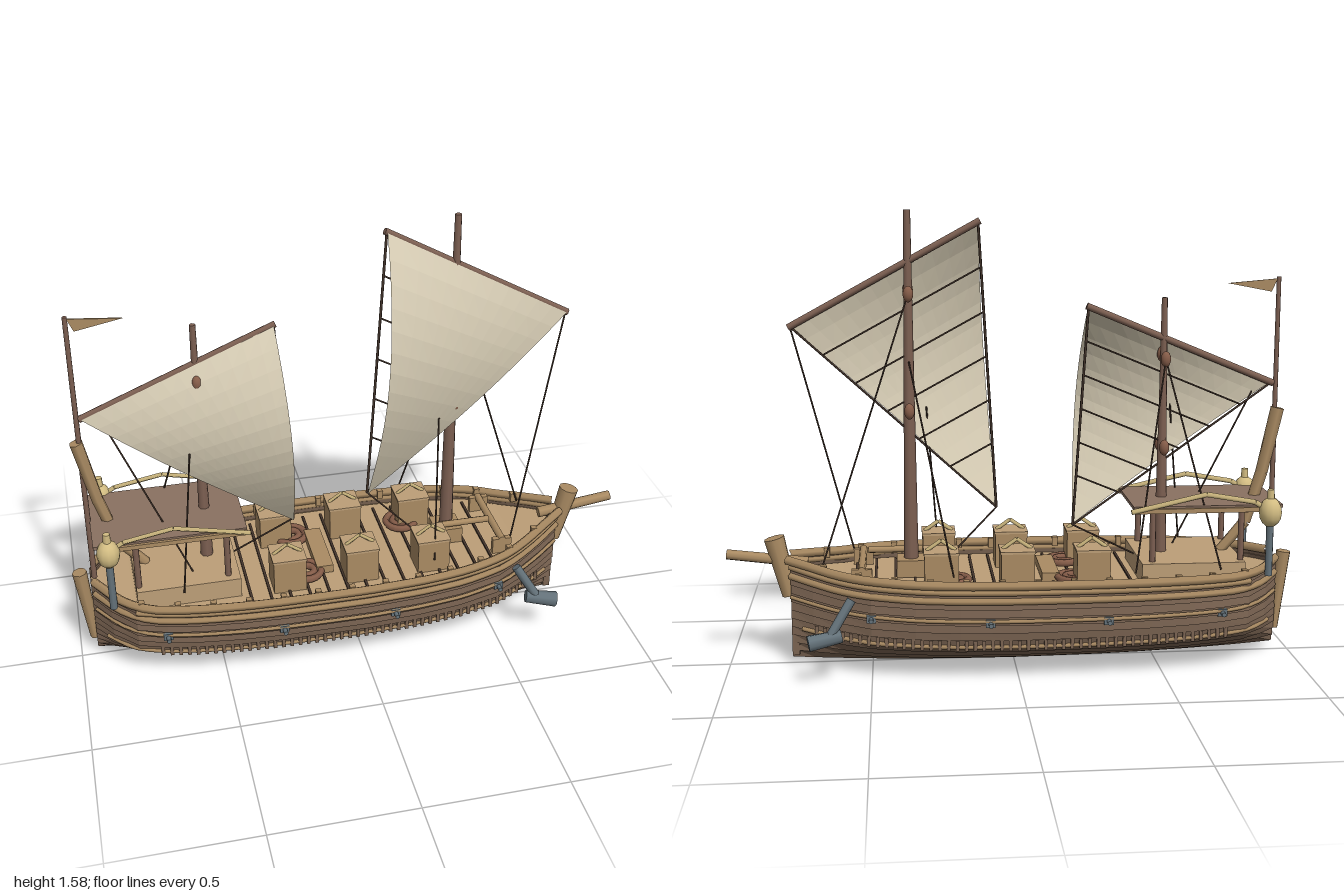
import * as THREE from 'three';

const mat = (name, color, side = THREE.FrontSide) => {
  const m = new THREE.MeshStandardMaterial({ color, side });
  m.name = name;
  return m;
};
const V = (x, y, z) => new THREE.Vector3(x, y, z);

// Linear lookup in a table of [x, value] pairs
function lookup(table, x) {
  for (let i = 1; i < table.length; i++) {
    const [x0, v0] = table[i - 1], [x1, v1] = table[i];
    if (x <= x1) return v0 + (v1 - v0) * (x - x0) / (x1 - x0);
  }
  return table[table.length - 1][1];
}

// Hull form: half width and sheer along x, section from keel (0) to rail (1)
const BEAM = [[-0.94, 0.03], [-0.88, 0.125], [-0.8, 0.21], [-0.7, 0.245], [-0.6, 0.265], [-0.45, 0.282], [-0.3, 0.29], [0, 0.293],
  [0.2, 0.284], [0.35, 0.265], [0.5, 0.226], [0.6, 0.165], [0.7, 0.095], [0.78, 0.03]];
const SHEER = [[-0.94, 0.36], [-0.8, 0.345], [0, 0.348], [0.3, 0.35], [0.6, 0.36], [0.78, 0.385]];
const SECTION = [[0, 0.03], [0.1, 0.32], [0.2, 0.58], [0.32, 0.79], [0.45, 0.88], [0.6, 0.925], [0.8, 0.965], [1, 1]];
const XS = BEAM.map(b => b[0]);
function hullPoint(x, t, out = 0, side = 1) {
  const bottom = 0.03 * (x / 0.9) ** 2;
  return V(x, bottom + (lookup(SHEER, x) - bottom) * t, side * (lookup(BEAM, x) * lookup(SECTION, t) + out));
}

// Faceted surface through rows of points
function loft(rows) {
  const pos = [];
  for (let j = 0; j + 1 < rows.length; j++)
    for (let i = 0; i + 1 < rows[j].length; i++) {
      const a = rows[j][i], b = rows[j][i + 1], c = rows[j + 1][i + 1], d = rows[j + 1][i];
      for (const p of [a, b, c, a, c, d]) pos.push(p.x, p.y, p.z);
    }
  const g = new THREE.BufferGeometry();
  g.setAttribute('position', new THREE.Float32BufferAttribute(pos, 3));
  g.computeVertexNormals();
  return g;
}

export function createModel() {
  const M = {
    hull: mat('hull brown', 0x7b6452, THREE.DoubleSide),
    trim: mat('trim tan', 0xaa8b63),
    deck: mat('deck tan', 0xbd9f78, THREE.DoubleSide),
    mast: mat('mast brown', 0x7d6052),
    sail: mat('sailcloth', 0xd6ccb4, THREE.DoubleSide),
    rope: mat('dark rope', 0x43342b),
    iron: mat('iron', 0x65737b),
    lamp: mat('lantern yellow', 0xd3bd83),
    block: mat('reddish wood', 0x865d49),
    cloth: mat('canopy brown', 0x8a7161),
  };
  const root = new THREE.Group();
  root.name = 'sailingShip';
  const add = (name, geo, m, p) => {
    const mesh = new THREE.Mesh(geo, m);
    mesh.name = name;
    if (p) mesh.position.copy(p);
    root.add(mesh);
    return mesh;
  };
  const box = (name, m, w, h, d, x, y, z) => add(name, new THREE.BoxGeometry(w, h, d), m, V(x, y, z));
  // Straight round bar from a to b
  const rod = (name, m, a, b, r0, r1 = r0, sides = 8) => {
    const dir = b.clone().sub(a);
    const mesh = add(name, new THREE.CylinderGeometry(r1, r0, dir.length(), sides), m, a.clone().lerp(b, 0.5));
    mesh.quaternion.setFromUnitVectors(V(0, 1, 0), dir.normalize());
    return mesh;
  };
  const rope = (a, b, r = 0.0032) => rod('rope', M.rope, a, b, r, r, 5);
  const ball = (name, m, x, y, z, rx, ry) =>
    add(name, new THREE.SphereGeometry(1, 12, 8), m, V(x, y, z)).scale.set(rx, ry, rx);

  for (const s of [-1, 1]) {
    // Overlapping hull planks
    const rows = [], n = 12;
    for (let k = 0; k < n; k++) {
      rows.push(XS.map(x => hullPoint(x, k / n, k ? 0.008 : 0, s)));
      rows.push(XS.map(x => hullPoint(x, (k + 1) / n, 0, s)));
    }
    add('hullPlanks', loft(rows), M.hull);

    // Wales and gunwale
    for (const [t, r, x0, x1] of [[1, 0.016, -0.93, 0.79], [0.93, 0.011, -0.8, 0.78], [0.84, 0.012, -0.93, 0.78], [0.63, 0.007, -0.93, 0.78], [0.34, 0.008, -0.9, 0.74]]) {
      const pts = [];
      for (let i = 0; i <= 20; i++) pts.push(hullPoint(x0 + (x1 - x0) * i / 20, t, 0.008, s));
      add(t === 1 ? 'gunwale' : 'wale', new THREE.TubeGeometry(new THREE.CatmullRomCurve3(pts), 40, r, 5).toNonIndexed(), M.trim);
    }
    // Rib ends along the lower wale
    for (let x = -0.72; x < 0.72; x += 0.03) {
      const p = hullPoint(x, 0.36, 0.006, s);
      box('ribEnd', M.hull, 0.012, 0.035, 0.018, p.x, p.y, p.z);
    }
    // Raised side rail
    for (let x = -0.78; x < 0.7; x += 0.12) {
      const p = hullPoint(x, 1, -0.005, s);
      box('railPost', M.trim, 0.02, 0.035, 0.02, p.x, p.y, p.z);
    }
    // Gun ports
    for (const x of [-0.7, -0.3, 0.1, 0.5]) {
      const p = hullPoint(x, 0.61, 0.008, s);
      box('portFrame', M.iron, 0.032, 0.026, 0.012, p.x, p.y, p.z);
      rod('portGun', M.iron, p, V(p.x, p.y, p.z + s * 0.03), 0.008);
    }
    // Bow anchors
    rod('anchorShank', M.iron, V(0.565, 0.29, s * 0.215), V(0.64, 0.17, s * 0.25), 0.016);
    rod('anchorHead', M.iron, V(0.6, 0.172, s * 0.24), V(0.71, 0.155, s * 0.262), 0.023, 0.028);
    // Crates with peaked handles
    for (const x of [-0.26, 0, 0.26]) {
      box('crate', M.trim, 0.115, 0.13, 0.11, x, 0.367, s * 0.14);
      box('crateLid', M.deck, 0.12, 0.008, 0.115, x, 0.433, s * 0.14);
      for (const e of [-1, 1]) rod('crateHandle', M.lamp, V(x + e * 0.05, 0.435, s * 0.14), V(x, 0.47, s * 0.14), 0.007, 0.007, 4);
    }
    // Canopy edge beams and posts
    const arch = [V(-0.86, 0.565, s * 0.175), V(-0.82, 0.59, s * 0.175), V(-0.65, 0.62, s * 0.175), V(-0.39, 0.562, s * 0.175)];
    for (let i = 0; i < 3; i++) rod('canopyArch', M.lamp, arch[i], arch[i + 1], 0.009, 0.009, 4);
    box('canopyBeam', M.trim, 0.5, 0.016, 0.02, -0.65, 0.563, s * 0.165);
    for (const x of [-0.78, -0.47]) rod('canopyPost', M.mast, V(x, 0.36, s * 0.145), V(x, 0.56, s * 0.145), 0.011);
    // Stern lanterns
    rod('lanternPole', M.iron, V(-0.872, 0.33, s * 0.18), V(-0.872, 0.52, s * 0.18), 0.013);
    ball('lantern', M.lamp, -0.872, 0.555, s * 0.18, 0.04, 0.052);
    rod('lanternCap', M.lamp, V(-0.872, 0.6, s * 0.18), V(-0.872, 0.635, s * 0.18), 0.014, 0.012);
  }

  // Deck with dark seams
  const deckEdge = s => XS.map(x => hullPoint(x, 0.88, -0.004, s));
  add('deck', loft([deckEdge(1), deckEdge(-1)]), M.deck);
  for (let x = -0.4; x < 0.6; x += 0.068) {
    const p = hullPoint(x, 0.88);
    box('deckSeam', M.rope, 0.009, 0.008, p.z * 1.75, x, p.y + 0.003, 0);
  }
  box('hatch', M.trim, 0.06, 0.03, 0.24, -0.12, 0.325, 0);
  for (const [x, z] of [[-0.2, -0.12], [-0.19, 0.11], [0.22, -0.12]])
    for (const r of [0.03, 0.055])
      add('ropeCoil', new THREE.TorusGeometry(r, 0.013, 6, 18).rotateX(Math.PI / 2), M.block, V(x, 0.325, z));
  // Stern platform
  box('sternPlatform', M.deck, 0.36, 0.075, 0.36, -0.61, 0.342, 0);
  // Bow windlass
  rod('windlass', M.trim, V(0.53, 0.37, -0.15), V(0.53, 0.37, 0.15), 0.014);
  for (const z of [-0.14, 0.14]) box('windlassStand', M.trim, 0.07, 0.06, 0.02, 0.53, 0.345, z);
  rod('mastBeam', M.trim, V(0.32, 0.395, 0.04), V(0.51, 0.395, 0.04), 0.012);
  box('mastFoot', M.trim, 0.1, 0.06, 0.1, 0.36, 0.345, 0);

  // Stem, stern post, bowsprit
  box('stem', M.hull, 0.025, 0.33, 0.05, 0.768, 0.2, 0);
  rod('stemHead', M.trim, V(0.785, 0.25, 0), V(0.835, 0.455, 0), 0.028, 0.036, 10);
  rod('bowsprit', M.trim, V(0.72, 0.365, 0), V(1, 0.4, 0), 0.02, 0.018);
  rod('sternPost', M.trim, V(-0.945, 0.085, 0), V(-0.975, 0.368, 0), 0.018, 0.026);
  const horn = [V(-0.935, 0.89, 0), V(-0.885, 0.66, 0), V(-0.83, 0.48, 0), V(-0.74, 0.375, 0)];
  for (let i = 0; i < 3; i++) rod('sternHorn', M.trim, horn[i], horn[i + 1], 0.024 - i * 0.002, 0.022 - i * 0.002, 6);

  // Flag
  rod('flagPole', M.mast, V(-0.925, 0.34, 0), V(-0.925, 1.35, 0), 0.01, 0.008);
  const pennant = new THREE.Shape([new THREE.Vector2(0, 0.045), new THREE.Vector2(0.175, 0.03), new THREE.Vector2(0.02, 0)]);
  add('pennant', new THREE.ExtrudeGeometry(pennant, { depth: 0.006, bevelEnabled: false }), M.trim, V(-0.92, 1.298, -0.003));

  // Canopy roof, rafters and lantern bar
  box('canopyRoof', M.cloth, 0.52, 0.012, 0.33, -0.66, 0.572, 0);
  for (let x = -0.88; x < -0.4; x += 0.09) box('canopyRafter', M.block, 0.014, 0.014, 0.34, x, 0.56, 0);
  rod('lanternBar', M.mast, V(-0.872, 0.555, -0.18), V(-0.872, 0.555, 0.18), 0.01);

  // Rig: yard from leech end a to foot end b, lower corner c, mast at mx
  function rig(name, a, b, c, mx, top, r, blocks) {
    rod(name + 'Mast', M.mast, V(mx, 0.32, 0), V(mx, top - 0.35, 0), r, r * 0.6);
    rod(name + 'Topmast', M.mast, V(mx, top - 0.35, 0), V(mx, top, 0), r * 0.6, r * 0.45);
    rod(name + 'Yard', M.mast, a.clone().lerp(b, -0.01), a.clone().lerp(b, 1.01), 0.012);
    const rows = [];
    for (let j = 0; j <= 14; j++) {
      const row = [], v = j / 14;
      for (let i = 0; i <= 12; i++) {
        const u = i / 12, p = a.clone().lerp(b, u).lerp(c, v);
        p.z += 0.012 + 0.158 * Math.sin(Math.PI * v ** 0.9) * (1 - 0.8 * u);
        row.push(p);
      }
      rows.push(row);
    }
    add(name + 'Sail', loft(rows), M.sail);
    // Edge ropes and rungs
    rope(a, c, 0.005);
    rope(b, c, 0.004);
    for (let k = 1; k < 6; k++) rope(a.clone().lerp(c, k / 6.5), b.clone().lerp(c, k / 6.5));
    for (const [y, z] of blocks) ball('pulley', M.block, mx, y, z, 0.018, 0.028);
  }
  rig('fore', V(0.12, 1.54, 0), V(0.76, 1.19, 0), V(0.06, 0.55, 0), 0.36, 1.58, 0.026, [[1.3, -0.04], [0.9, -0.04], [0.9, 0.045], [1.31, 0.03]]);
  rig('mizzen', V(-0.26, 1.25, 0), V(-0.91, 0.98, 0), V(-0.21, 0.48, 0), -0.525, 1.28, 0.023, [[1.07, -0.04], [0.76, -0.04], [0.76, 0.04], [1.08, 0.03]]);

  // Stays and sheets
  for (const [a, b] of [
    [V(0.76, 1.19, 0), V(0.56, 0.36, 0.14)], [V(0.36, 1.3, -0.04), V(0.67, 0.36, -0.1)],
    [V(0.36, 1.07, -0.03), V(0.22, 0.36, -0.22)], [V(0.3, 0.9, 0.06), V(0.26, 0.36, 0.2)],
    [V(0.06, 0.55, 0), V(0.24, 0.36, 0)], [V(-0.21, 0.48, 0), V(-0.45, 0.36, 0)],
    [V(-0.84, 0.95, 0), V(-0.58, 0.36, 0.1)], [V(-0.525, 1.07, -0.04), V(-0.7, 0.36, -0.2)],
    [V(-0.56, 0.9, 0.05), V(-0.63, 0.36, 0.19)], [V(-0.525, 1.07, -0.04), V(-0.4, 0.36, -0.22)],
  ]) rope(a, b);

  return root;
}
